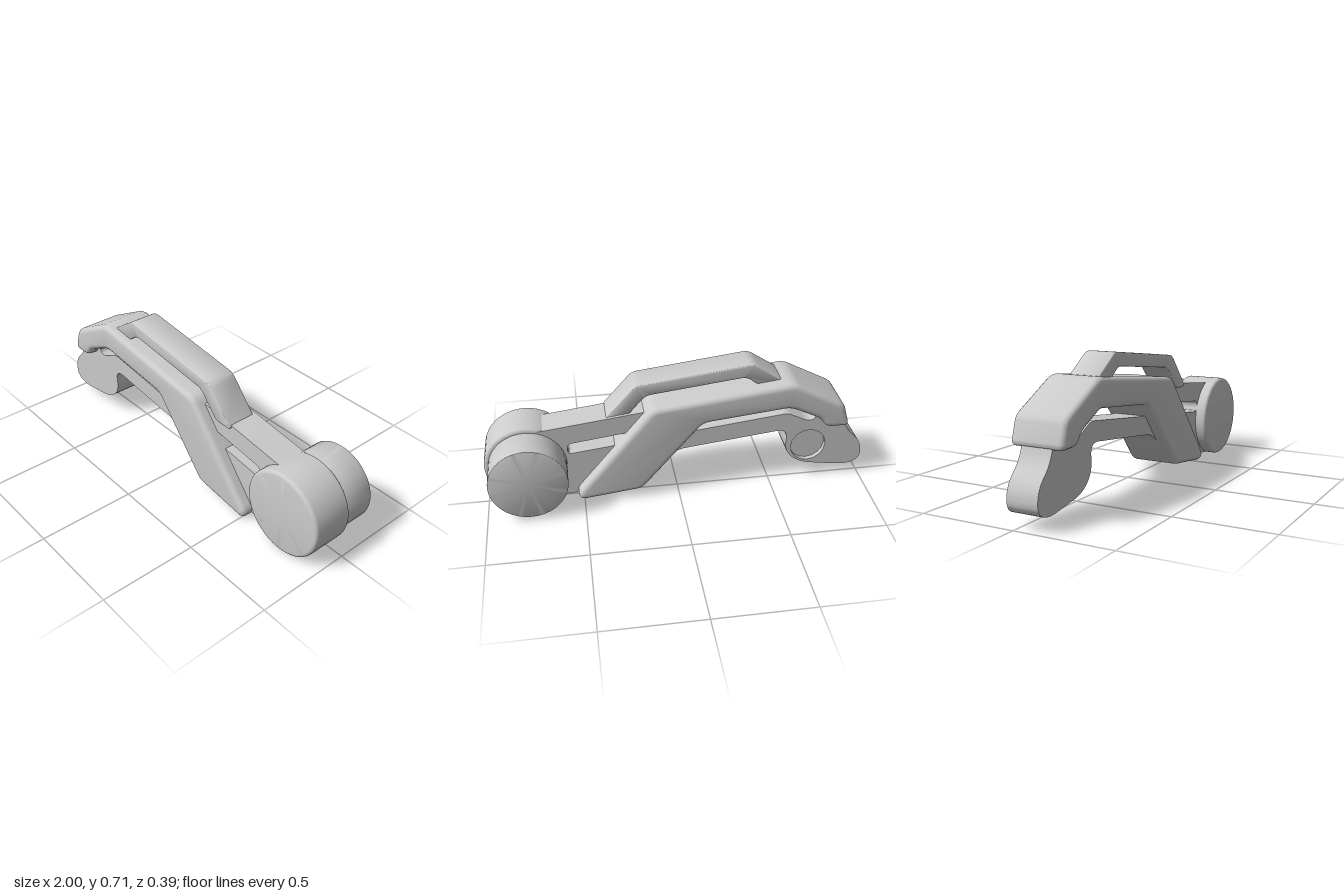
import * as THREE from 'three';
import { toCreasedNormals } from 'three/addons/utils/BufferGeometryUtils.js';

const material = new THREE.MeshStandardMaterial({ color: 0xcccccc });

// Closed outline through the points, each corner rounded by about r
function rounded(points, r, Type = THREE.Shape) {
  const path = new Type();
  const v = points.map(([x, y]) => new THREE.Vector2(x, y));
  v.forEach((p, i) => {
    const toward = (q) => {
      const d = q.clone().sub(p);
      return p.clone().addScaledVector(d, Math.min(r, d.length() * 0.48) / d.length());
    };
    const a = toward(v[(i + v.length - 1) % v.length]);
    const b = toward(v[(i + 1) % v.length]);
    if (i === 0) path.moveTo(a.x, a.y);
    else path.lineTo(a.x, a.y);
    path.quadraticCurveTo(p.x, p.y, b.x, b.y);
  });
  path.closePath();
  return path;
}

// Plate between two z planes, with an optional rounded edge
function plate(name, shape, z0, z1, bevel = 0) {
  const geometry = new THREE.ExtrudeGeometry(shape, {
    depth: z1 - z0 - 2 * bevel,
    bevelEnabled: bevel > 0,
    bevelSize: bevel,
    bevelThickness: bevel,
    bevelOffset: -bevel,
    bevelSegments: 4,
    curveSegments: 8,
  });
  geometry.translate(0, 0, z0 + bevel);
  const mesh = new THREE.Mesh(toCreasedNormals(geometry, 0.6), material);
  mesh.name = name;
  return mesh;
}

// Round drum along z, centred on the pivot, with rounded rims
function drum(name, radius, z0, z1, bevel) {
  const profile = [new THREE.Vector2(0, z0)];
  const steps = 5;
  for (const end of [0, 1]) {
    for (let i = 0; i <= steps; i++) {
      const a = (i / steps) * Math.PI / 2 + (end - 1) * Math.PI / 2;
      const z = end ? z1 - bevel : z0 + bevel;
      profile.push(new THREE.Vector2(radius - bevel + bevel * Math.cos(a), z + bevel * Math.sin(a)));
    }
  }
  profile.push(new THREE.Vector2(0, z1));
  const geometry = new THREE.LatheGeometry(profile, 64).rotateX(Math.PI / 2);
  // rotateX turns the lathe axis from +y to +z
  const mesh = new THREE.Mesh(toCreasedNormals(geometry, 0.6), material);
  mesh.name = name;
  mesh.position.set(0.777, 0.223, 0);
  return mesh;
}

export function createModel() {
  const group = new THREE.Group();
  group.name = 'leverArm';

  // Central arm: rounded foot at one end, pivot at the other, one long slot
  const armOutline = [
    [-0.87, 0.44], [-0.905, 0.29], [-1.0, 0.2], [-1.01, 0.09], [-0.93, 0.055],
    [-0.66, 0.098], [-0.575, 0.18], [-0.59, 0.318], [0.02, 0.245],
    [0.22, 0.055], [0.52, 0.03], [0.78, 0.005], [0.9, 0.2], [0.78, 0.415],
    [0.18, 0.49], [-0.58, 0.585],
  ];
  const slot = [
    [-0.74, 0.42], [-0.73, 0.365], [-0.69, 0.36], [-0.58, 0.415],
    [0.57, 0.275], [0.57, 0.335], [-0.56, 0.485],
  ];
  const armShape = (recess) => {
    const shape = rounded(armOutline, 0.07);
    shape.holes.push(rounded(slot, 0.025, THREE.Path));
    if (recess) {
      const circle = new THREE.Path();
      circle.absarc(-0.705, 0.205, 0.095, 0, Math.PI * 2, true);
      shape.holes.push(circle);
    }
    return shape;
  };
  group.add(plate('arm', armShape(false), 0, 0.135));
  group.add(plate('armBackWithRoundRecess', armShape(true), -0.025, 0));

  // Thick angled guard wrapped around the arm
  const guard = rounded([
    [-0.905, 0.34], [-0.78, 0.34], [-0.745, 0.395], [-0.58, 0.475],
    [-0.125, 0.425], [0.195, 0.05], [0.52, 0.01], [0.535, 0.055],
    [0.14, 0.53], [-0.59, 0.62], [-0.865, 0.475],
  ], 0.035);
  group.add(plate('guard', guard, -0.085, 0.195, 0.028));

  // Raised strap on top
  const strap = rounded([
    [-0.6, 0.57], [-0.39, 0.71], [0.215, 0.635], [0.38, 0.45], [0.27, 0.45],
    [0.16, 0.575], [-0.355, 0.638], [-0.46, 0.56],
  ], 0.03);
  group.add(plate('topStrap', strap, -0.008, 0.15, 0.006));

  // Pivot drum and the narrower hub behind it
  group.add(drum('pivotDrum', 0.222, -0.025, 0.195, 0.018));
  group.add(drum('pivotHub', 0.2, -0.193, 0, 0.002));

  return group;
}
